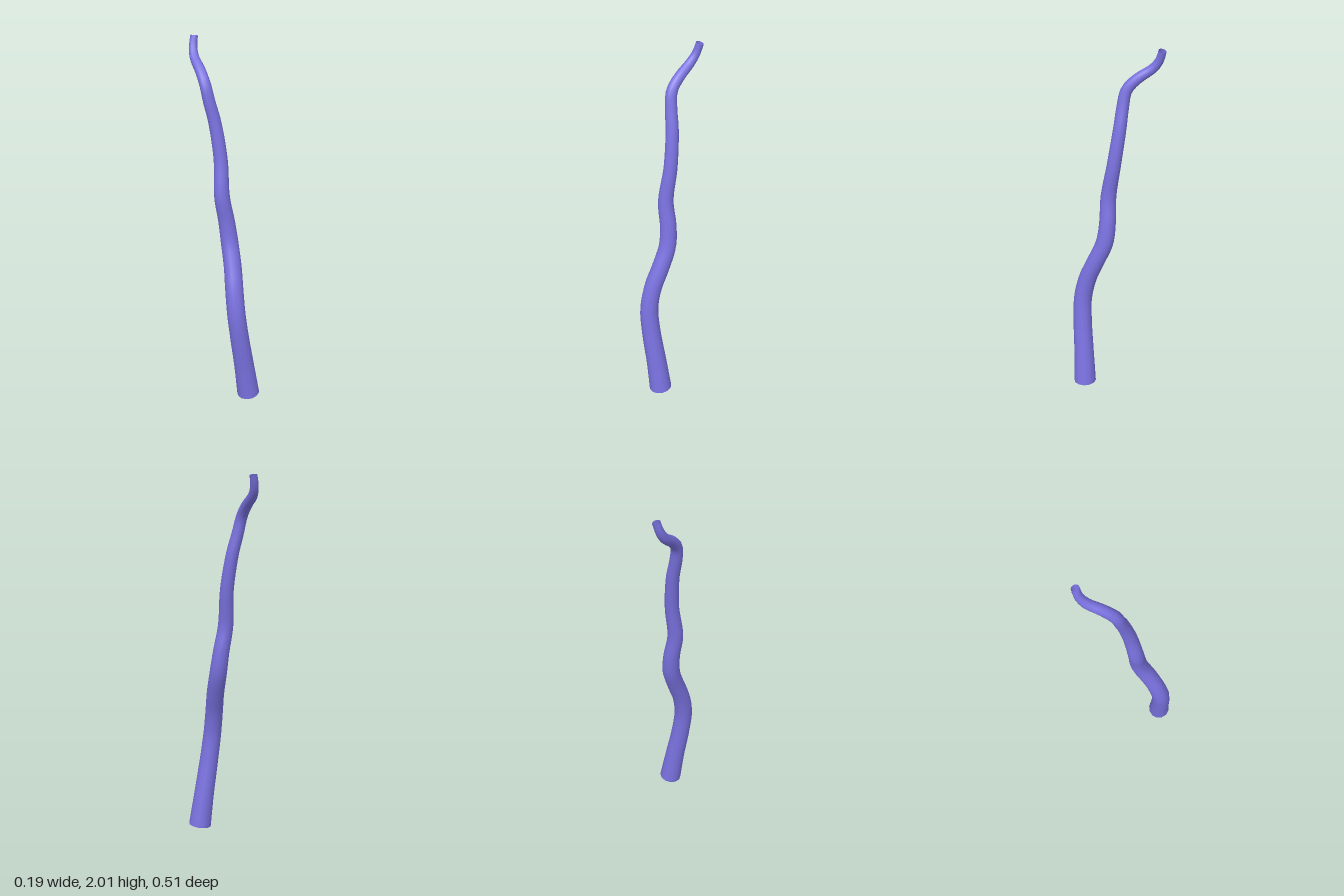
import * as THREE from 'three';

// Centre line and radius: [x, y, z, radius]
const PATH = [
  [0.033, 0.01, 0.192, 0.064],
  [0.004, 0.2, 0.189, 0.057],
  [-0.03, 0.4, 0.187, 0.053],
  [-0.048, 0.56, 0.178, 0.051],
  [-0.04, 0.7, 0.148, 0.05],
  [-0.02, 0.81, 0.108, 0.049],
  [-0.005, 0.94, 0.059, 0.048],
  [-0.012, 1.06, 0.041, 0.045],
  [-0.034, 1.2, 0.031, 0.042],
  [-0.022, 1.4, 0.003, 0.037],
  [-0.035, 1.6, -0.031, 0.034],
  [-0.054, 1.7, -0.049, 0.032],
  [-0.064, 1.79, -0.071, 0.03],
  [-0.055, 1.85, -0.125, 0.028],
  [-0.04, 1.9, -0.195, 0.025],
  [-0.025, 1.945, -0.226, 0.022],
  [-0.01, 2.0, -0.237, 0.02],
];
const SEGMENTS = 72;
const SIDES = 12;

export function createModel() {
  const group = new THREE.Group();
  const curve = new THREE.CatmullRomCurve3(PATH.map(([x, y, z]) => new THREE.Vector3(x, y, z)));
  const geometry = new THREE.TubeGeometry(curve, SEGMENTS, 1, SIDES, false);

  // Taper the unit tube ring by ring and turn each ring half a facet
  const position = geometry.attributes.position;
  const v = new THREE.Vector3();
  for (let i = 0; i <= SEGMENTS; i++) {
    const u = i / SEGMENTS;
    const centre = curve.getPointAt(u);
    const tangent = curve.getTangentAt(u);
    const t = curve.getUtoTmapping(u) * (PATH.length - 1);
    const k = Math.min(Math.floor(t), PATH.length - 2);
    const radius = THREE.MathUtils.lerp(PATH[k][3], PATH[k + 1][3], t - k);
    for (let j = 0; j <= SIDES; j++) {
      const n = i * (SIDES + 1) + j;
      v.fromBufferAttribute(position, n).sub(centre);
      v.applyAxisAngle(tangent, Math.PI / SIDES).multiplyScalar(radius).add(centre);
      position.setXYZ(n, v.x, v.y, v.z);
    }
  }
  geometry.computeVertexNormals();

  // Weld the normals along the tube's seam
  const normal = geometry.attributes.normal;
  const w = new THREE.Vector3();
  for (let i = 0; i <= SEGMENTS; i++) {
    const a = i * (SIDES + 1), b = a + SIDES;
    v.fromBufferAttribute(normal, a).add(w.fromBufferAttribute(normal, b)).normalize();
    normal.setXYZ(a, v.x, v.y, v.z);
    normal.setXYZ(b, v.x, v.y, v.z);
  }

  // Open-ended wavy stalk
  const stalk = new THREE.Mesh(
    geometry,
    new THREE.MeshStandardMaterial({ color: 0x7a72e0, side: THREE.DoubleSide })
  );
  stalk.name = 'stalk';
  group.add(stalk);
  return group;
}
